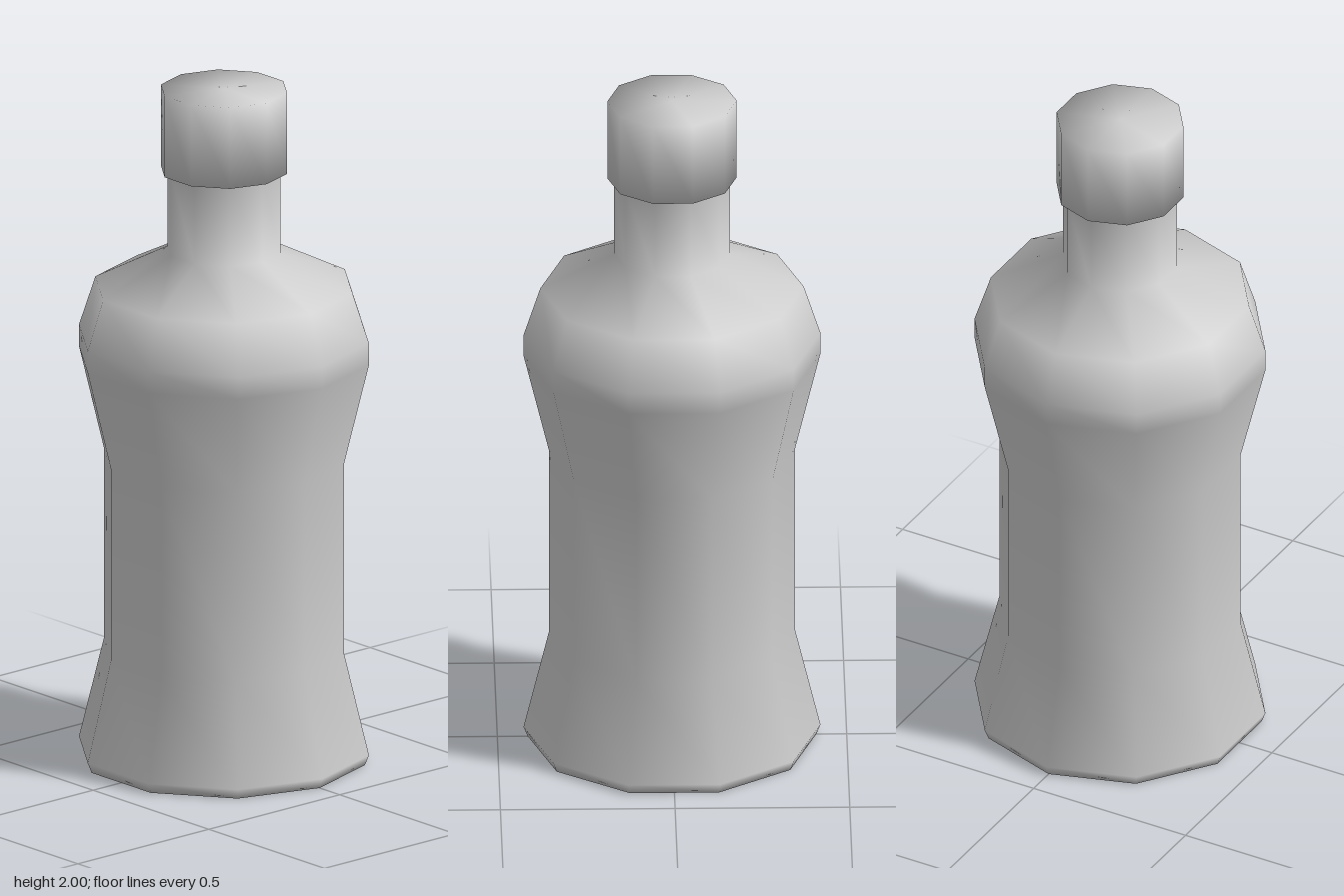
import * as THREE from 'three';

const SIDES = 10;

// Ten-sided smooth turned part from [radius, height] pairs, bottom to top
function turned(name, profile, material) {
  const points = profile.map(([r, y]) => new THREE.Vector2(r, y));
  const mesh = new THREE.Mesh(new THREE.LatheGeometry(points, SIDES), material);
  mesh.name = name;
  return mesh;
}

export function createModel() {
  const group = new THREE.Group();
  group.name = 'bottle';

  const grey = new THREE.MeshStandardMaterial({ color: 0xcccccc });
  grey.name = 'light grey';

  // Waisted body, sloping shoulder and neck
  group.add(turned('body', [
    [0, 0], [0.413, 0], [0.425, 0.03],
    [0.352, 0.33], [0.352, 0.9],
    [0.425, 1.2], [0.425, 1.265],
    [0.377, 1.412], [0.166, 1.518], [0.166, 1.77],
  ], grey));

  // Wider cap, closed top and bottom
  group.add(turned('cap', [
    [0, 1.757], [0.185, 1.757], [0.185, 2], [0, 2],
  ], grey));

  return group;
}
